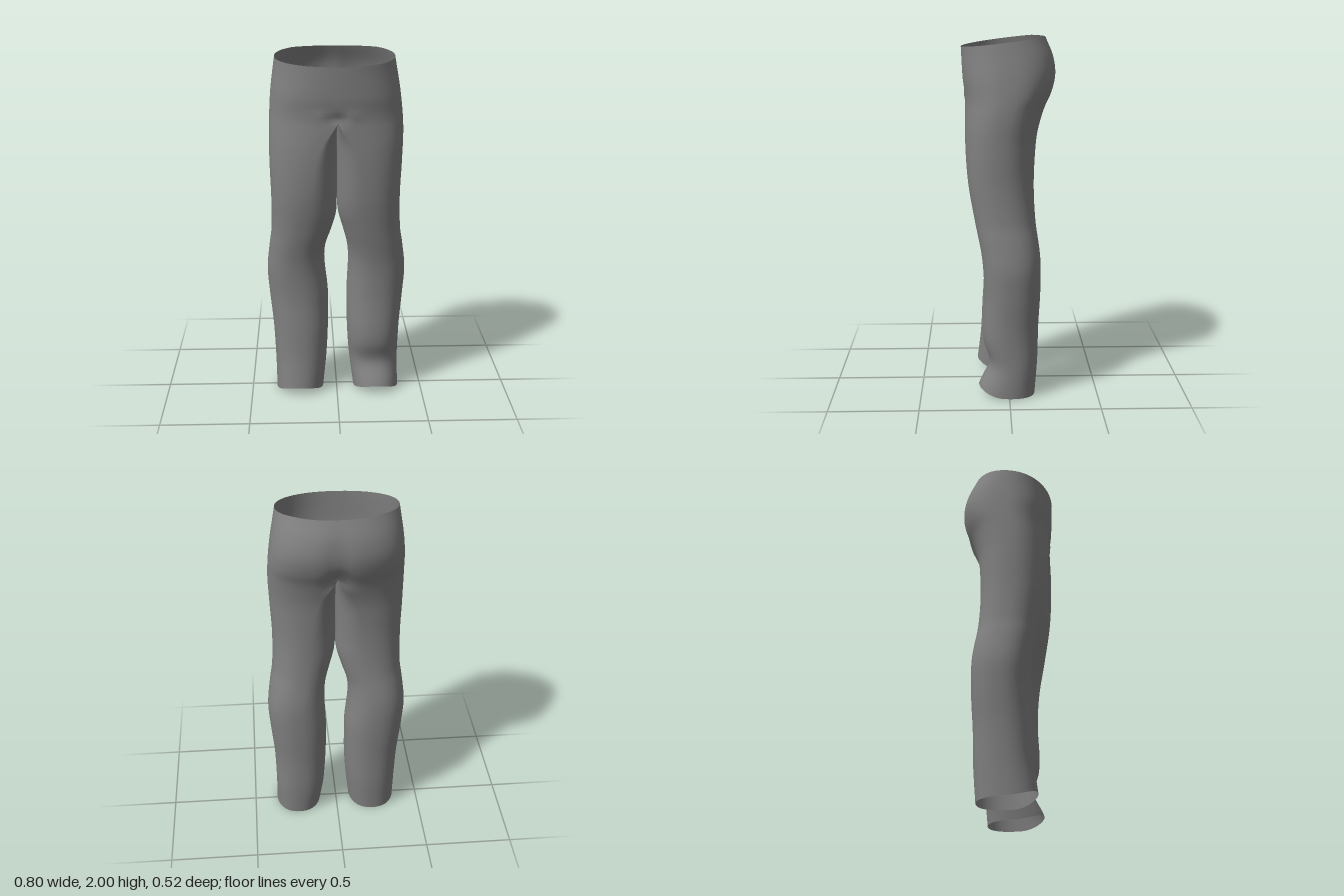
import * as THREE from 'three';
import { mergeVertices } from 'three/addons/utils/BufferGeometryUtils.js';

const STEP = 0.02, ROWS = 100, CROTCH = 82, HALF = 32, COLS = 64;

// Profiles as [height, value] points
const FRONT = [[0, 0.18], [0.2, 0.16], [0.4, 0.15], [0.6, 0.14], [0.8, 0.152], [1, 0.19], [1.2, 0.225],
  [1.4, 0.24], [1.6, 0.242], [1.7, 0.243], [1.8, 0.254], [2, 0.263]];
const BACK = [[0, -0.145], [0.2, -0.16], [0.4, -0.165], [0.6, -0.175], [0.8, -0.173], [1, -0.147], [1.2, -0.138],
  [1.4, -0.148], [1.5, -0.163], [1.6, -0.195], [1.7, -0.24], [1.8, -0.262], [1.9, -0.25], [2, -0.208]];
const SIDES = [
  { sign: 1, // left leg
    outer: [[0, 0.365], [0.2, 0.364], [0.4, 0.37], [0.6, 0.388], [0.75, 0.397], [0.9, 0.38], [1, 0.364],
      [1.2, 0.357], [1.4, 0.365], [1.6, 0.37], [1.8, 0.353], [2, 0.32]],
    inner: [[0, 0.1], [0.2, 0.075], [0.4, 0.062], [0.6, 0.06], [0.8, 0.068], [0.9, 0.06], [1, 0.035],
      [1.1, 0.008], [1.2, 0], [2, 0]] },
  { sign: -1, // right leg
    outer: [[0, 0.355], [0.2, 0.36], [0.4, 0.37], [0.6, 0.39], [0.75, 0.4], [0.9, 0.385], [1, 0.372],
      [1.2, 0.37], [1.4, 0.376], [1.6, 0.375], [1.8, 0.365], [2, 0.34]],
    inner: [[0, 0.08], [0.2, 0.06], [0.4, 0.05], [0.6, 0.05], [0.8, 0.07], [0.9, 0.063], [1, 0.03],
      [1.1, 0.003], [1.2, 0], [2, 0]] },
];
// How far the two legs are joined: 0 = separate tube, 1 = shared hip section
const JOIN = [[0, 0], [1.05, 0], [1.3, 0.2], [1.5, 0.5], [1.64, 1], [1.65, 1], [2, 1]];
// Roundness of the section: 1 = ellipse, lower = squarer
const ROUND = [[0, 0.9], [1.4, 0.9], [1.75, 0.8], [2, 0.93]];

// Smooth interpolation through a profile
function at(table, y) {
  let k = 0;
  while (k < table.length - 2 && y > table[k + 1][0]) k++;
  const slope = (i) => {
    const a = table[Math.max(i - 1, 0)], b = table[Math.min(i + 1, table.length - 1)];
    return (b[1] - a[1]) / (b[0] - a[0]);
  };
  const [y0, v0] = table[k], [y1, v1] = table[k + 1];
  if (v0 === v1) return v0;
  const h = y1 - y0, t = (y - y0) / h, t2 = t * t, t3 = t2 * t;
  return v0 * (2 * t3 - 3 * t2 + 1) + v1 * (3 * t2 - 2 * t3)
    + h * slope(k) * (t3 - 2 * t2 + t) + h * slope(k + 1) * (t3 - t2);
}

const bump = (v, centre, width) => Math.exp(-(((v - centre) / width) ** 2));
const power = (v, p) => Math.sign(v) * Math.abs(v) ** p;

function clothPoint(side, row, col) {
  let y = row * STEP;
  const angle = Math.PI / 2 - (Math.PI * col) / HALF;
  const p = at(ROUND, y);
  const c = power(Math.cos(angle), p), s = power(Math.sin(angle), p);
  const xo = at(side.outer, y), xi = at(side.inner, y);
  const join = row >= CROTCH ? 1 : at(JOIN, y);
  const legX = (xo + xi) / 2 + ((xo - xi) / 2) * c;
  const x = side.sign * THREE.MathUtils.lerp(legX, Math.max(c, 0) * xo, join);

  let front = at(FRONT, y);
  if (side.sign > 0) front -= 0.05 * bump(y, 0.16, 0.12); // dented left shin
  const back = at(BACK, y);
  let z = (front + back) / 2 + ((front - back) / 2) * s;
  if (s < 0) {
    // cleft at the seat
    z -= s * bump(x, 0, 0.05) * (0.015 * bump(y, 1.8, 0.14) + 0.035 * bump(y, 1.65, 0.06));
  } else {
    // pinched folds at the front of the crotch
    z -= s * 0.025 * bump(x, 0, 0.035) * bump(y, 1.665, 0.035);
    z += s * 0.006 * bump(Math.abs(x), 0.07, 0.05) * bump(y, 1.69, 0.03);
  }
  // waist slopes down to the front, hems rise at the front
  const top = Math.max(0, (y - 1.64) / 0.36);
  y -= top * (0.022 + 0.03 * s) * (s > -0.73 ? 1 : 0) + 0;
  const low = Math.max(0, 1 - y / 0.3);
  y += low * (0.008 + 0.045 * Math.max(0, s) ** 2 - 0.006 * Math.max(0, -s));
  return [x, y, z];
}

function trouserGeometry() {
  const positions = [], index = [];
  SIDES.forEach((side, n) => {
    const start = n * (ROWS + 1) * COLS;
    for (let row = 0; row <= ROWS; row++)
      for (let col = 0; col < COLS; col++) positions.push(...clothPoint(side, row, col));
    for (let row = 0; row < ROWS; row++) {
      // above the crotch only the outer half of each section remains
      const cols = row < CROTCH ? COLS : HALF;
      for (let col = 0; col < cols; col++) {
        const a = start + row * COLS + col, b = start + row * COLS + ((col + 1) % COLS);
        const c = b + COLS, d = a + COLS;
        if (side.sign > 0) index.push(a, b, c, a, c, d);
        else index.push(a, c, b, a, d, c);
      }
    }
  });
  const geometry = new THREE.BufferGeometry();
  geometry.setAttribute('position', new THREE.Float32BufferAttribute(positions, 3));
  geometry.setIndex(index);
  const merged = mergeVertices(geometry, 1e-4); // welds the centre seams
  merged.computeVertexNormals();
  return merged;
}

export function createModel() {
  const group = new THREE.Group();
  group.name = 'trousers';
  const cloth = new THREE.MeshStandardMaterial({ color: 0x808080, side: THREE.DoubleSide });
  cloth.name = 'grey cloth';
  const mesh = new THREE.Mesh(trouserGeometry(), cloth);
  mesh.name = 'trouserCloth';
  group.add(mesh);
  return group;
}
